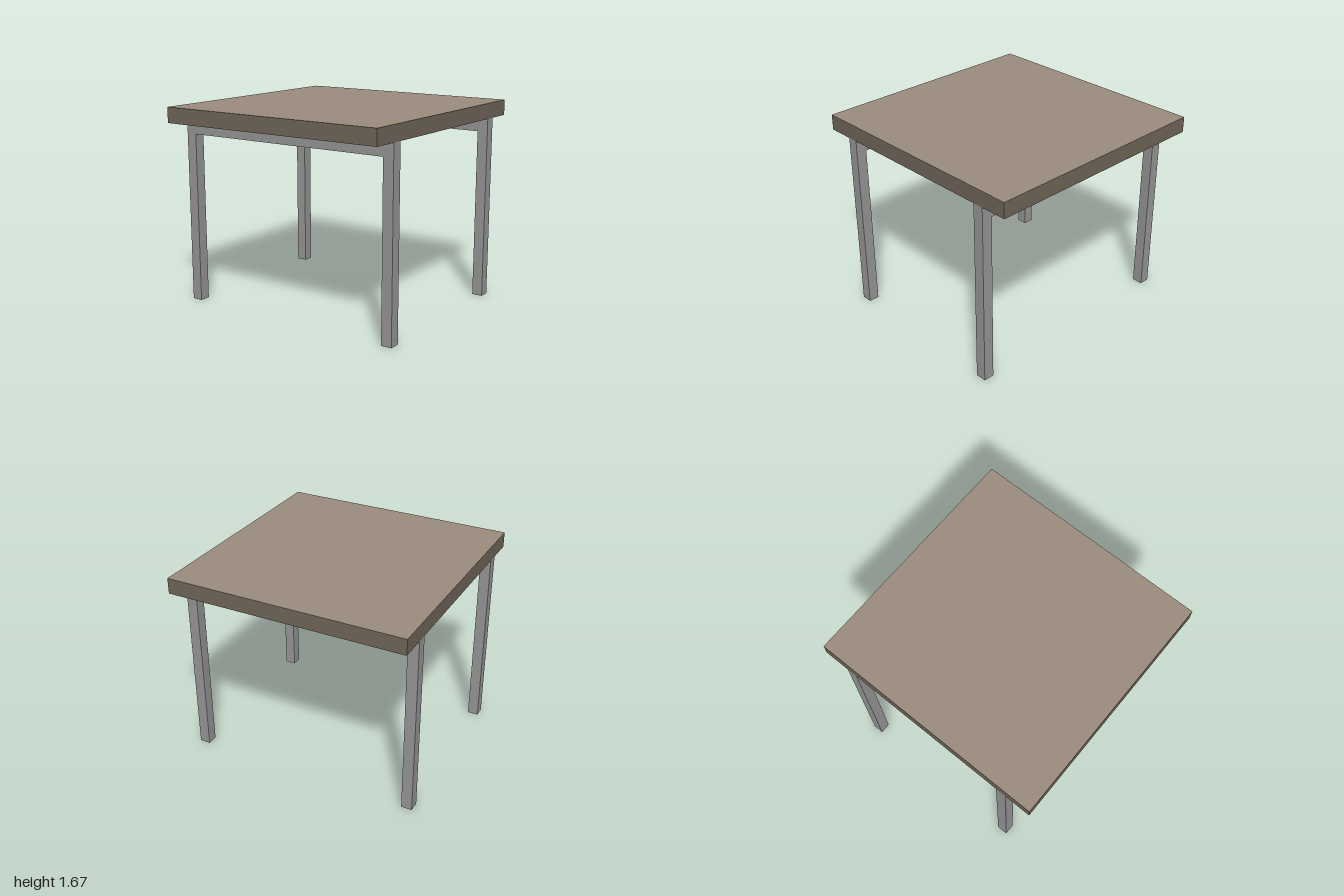
import * as THREE from 'three';

export function createModel() {
  const table = new THREE.Group();
  table.name = 'table';

  const makeMaterial = (name, color) => {
    const material = new THREE.MeshStandardMaterial({ color });
    material.name = name;
    return material;
  };
  const topWood = makeMaterial('light wood', 0x9b8c7d);
  const edgeWood = makeMaterial('dark wood', 0x706558);
  const metal = makeMaterial('grey metal', 0x969696);

  const addBox = (parent, name, size, position, material) => {
    const mesh = new THREE.Mesh(new THREE.BoxGeometry(...size), material);
    mesh.name = name;
    mesh.position.set(...position);
    parent.add(mesh);
  };

  const frameHeight = 1.54, bar = 0.09, railHeight = 0.11;

  // Square slab: light upper face, darker edges and underside
  addBox(table, 'tabletop', [2, 0.13, 2], [0, frameHeight + 0.065, 0],
    [edgeWood, edgeWood, topWood, edgeWood, edgeWood, edgeWood]);

  // Two leg frames, each with a pair of legs joined by a rail under the top
  for (const [side, z] of [['front', 0.735], ['back', -0.735]]) {
    const frame = new THREE.Group();
    frame.name = side + 'Frame';
    frame.position.z = z;
    for (const [hand, s] of [['Left', 1], ['Right', -1]]) {
      addBox(frame, side + hand + 'Leg', [bar, frameHeight, bar],
        [s * (1 - bar / 2), frameHeight / 2, 0], metal);
    }
    addBox(frame, side + 'Rail', [2 - 2 * bar, railHeight, bar],
      [0, frameHeight - railHeight / 2, 0], metal);
    table.add(frame);
  }

  return table;
}
